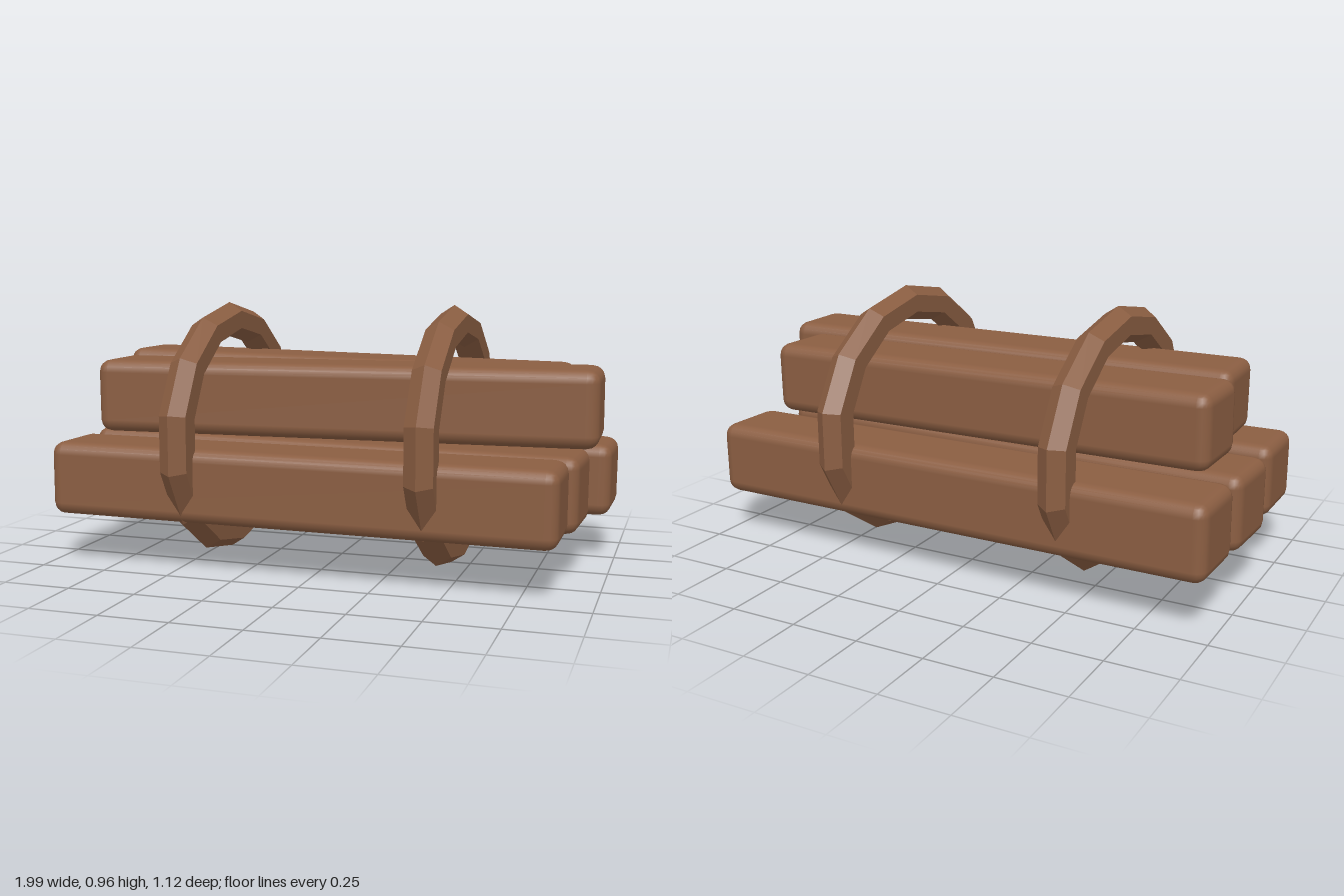
import * as THREE from 'three';
import { RoundedBoxGeometry } from 'three/addons/geometries/RoundedBoxGeometry.js';

export function createModel() {
  const group = new THREE.Group();
  group.name = 'lumberBundle';
  const wood = new THREE.MeshStandardMaterial({ color: 0x8b5e42 });
  wood.name = 'wood brown';
  const strapWood = wood.clone();
  strapWood.name = 'strap brown';
  strapWood.flatShading = true;

  // Bevelled beams: name, length, height, width, centre, yaw and pitch in degrees
  const beams = [
    ['bottomBackBeam', 1.965, 0.27, 0.285, [0.005, 0.313, -0.335], -1.2, -0.5],
    ['bottomMiddleBeam', 1.91, 0.275, 0.285, [-0.04, 0.315, 0], -2.7, -0.4],
    ['bottomFrontBeam', 1.86, 0.27, 0.285, [-0.05, 0.317, 0.33], -0.2, -0.3],
    ['topBackBeam', 1.755, 0.265, 0.28, [-0.04, 0.62, -0.172], -1.4, -0.9],
    ['topFrontBeam', 1.835, 0.268, 0.283, [0.06, 0.62, 0.167], 1.6, 0.2],
  ];
  for (const [name, length, height, width, centre, yaw, pitch] of beams) {
    const beam = new THREE.Mesh(new RoundedBoxGeometry(length, height, width, 2, 0.045), wood);
    beam.name = name;
    beam.position.set(...centre);
    beam.rotation.set(0, THREE.MathUtils.degToRad(yaw), THREE.MathUtils.degToRad(pitch));
    group.add(beam);
  }

  // Two oval hoops with six-sided section, a corner at top and bottom
  const hoop = new THREE.TorusGeometry(0.496, 0.079, 6, 14);
  hoop.rotateZ(Math.PI / 2).rotateY(Math.PI / 2).scale(0.74, 0.831, 1);
  for (const [name, x] of [['rightHoop', -0.455], ['leftHoop', 0.427]]) {
    const mesh = new THREE.Mesh(hoop, strapWood);
    mesh.name = name;
    mesh.position.set(x, 0.479, 0);
    group.add(mesh);
  }
  return group;
}
